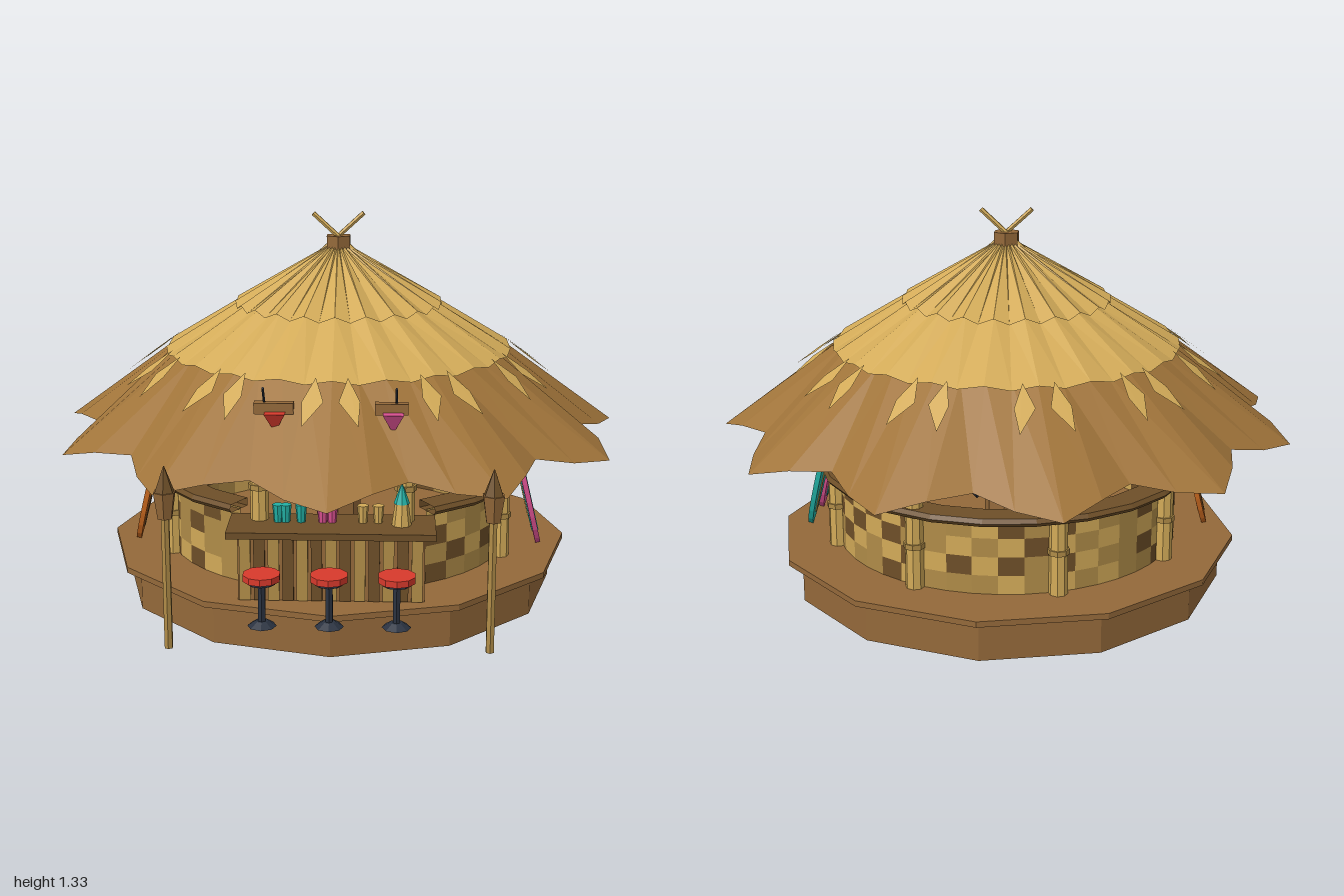
import * as THREE from 'three';

export function createModel() {
  const model = new THREE.Group();
  const hut = new THREE.Group();
  hut.name = 'beachBar';
  hut.position.z = -0.02;
  model.add(hut);

  const paint = (name, color) => {
    const m = new THREE.MeshStandardMaterial({ color, flatShading: true, side: THREE.DoubleSide });
    m.name = name;
    return m;
  };
  const straw = paint('straw', 0xd2aa58), thatch = paint('thatch', 0xa0743a);
  const wood = paint('wood', 0x94693a), darkWood = paint('dark wood', 0x6e4f28);
  const tan = paint('tan', 0xb08c48), red = paint('red', 0xd83a2c);
  const pink = paint('pink', 0xd8508f), teal = paint('teal', 0x22b0a5);
  const orange = paint('orange', 0xcc6a20), navy = paint('navy', 0x2a3240);

  const add = (name, geo, mat, x = 0, y = 0, z = 0, parent = hut) => {
    const m = new THREE.Mesh(geo, mat);
    m.name = name;
    m.position.set(x, y, z);
    parent.add(m);
    return m;
  };
  const cyl = (name, r1, r0, y0, y1, sides, mat, x = 0, z = 0, parent = hut) =>
    add(name, new THREE.CylinderGeometry(r1, r0, y1 - y0, sides), mat, x, (y0 + y1) / 2, z, parent);
  const box = (name, w, h, d, mat, x, y, z, parent = hut) =>
    add(name, new THREE.BoxGeometry(w, h, d), mat, x, y, z, parent);
  const polar = (r, a, y) => [r * Math.sin(a), y, r * Math.cos(a)];
  const soup = (points) => {
    const g = new THREE.BufferGeometry();
    g.setAttribute('position', new THREE.Float32BufferAttribute(points.flat(), 3));
    g.computeVertexNormals();
    return g;
  };
  const quad = (out, a, b, c, d) => out.push(a, b, c, a, c, d);
  const TAU = Math.PI * 2;

  // Deck with overhanging lip
  cyl('deckBase', 0.77, 0.77, 0, 0.14, 12, wood);
  cyl('deckLip', 0.82, 0.82, 0.14, 0.16, 12, wood);

  // Pleated thatch layers; each ring gives [radius, height] for a pleat index
  const N = 44;
  const layer = (name, mat, inner, outer) => {
    const pts = [];
    for (let i = 0; i < N; i++) {
      const at = (ring, k) => { const [r, y] = ring(k % N); return polar(r, (k / N) * TAU, y); };
      quad(pts, at(inner, i), at(outer, i), at(outer, i + 1), at(inner, i + 1));
    }
    add(name, soup(pts), mat);
  };
  const jag = (r, y, d) => (k) => [r, y + (k % 2 ? -d : d)];
  layer('roofCap', straw, jag(0.03, 1.215, 0.004), jag(0.365, 1.015, 0.01));
  layer('roofMiddle', straw, jag(0.34, 1.022, 0.008), jag(0.61, 0.86, 0.007));
  // Eleven scalloped lobes of four pleats each
  layer('roofSkirt', thatch, jag(0.57, 0.875, 0.004), (k) => [
    [1.005, 0.56], [0.935, 0.595], [0.865, 0.605], [0.935, 0.575]][k % 4]);
  add('ceiling', new THREE.CylinderGeometry(0.05, 0.8, 0.48, 12, 1, true), wood, 0, 0.855, 0);

  // Pointed straw tufts lying over the skirt
  const tufts = [];
  const slopeY = (r) => 0.876 - (r - 0.6) * 0.74;
  for (let i = 0; i < 22; i++) {
    const a = (Math.floor(i / 2) / 11) * TAU + (i % 2 ? 0.085 : -0.085);
    const p = (r, da) => polar(r, a + da, slopeY(r));
    const lean = i % 2 ? 0.03 : -0.03;
    quad(tufts, p(0.6, 0), p(0.68, -0.05), p(0.76, lean), p(0.68, 0.05));
  }
  add('strawTufts', soup(tufts), straw);

  // Roof finial with crossed sticks
  cyl('finial', 0.047, 0.047, 1.175, 1.25, 6, wood);
  for (const s of [-1, 1]) {
    const stick = cyl('crossedStick', 0.009, 0.009, 1.11, 1.37, 6, straw, 0.008 * s, 0.01 * s);
    stick.rotation.z = s * 0.83;
  }

  // Patchwork wall, open at the front for the counter
  const tileMats = [straw, tan, darkWood];
  const tiles = tileMats.map(() => []);
  let seed = 7;
  const rand = () => (seed = (seed * 16807) % 2147483647) / 2147483647;
  const deg = Math.PI / 180, rows = 4, rowH = 0.26 / rows;
  for (let c = 0; c < 37; c++) {
    const a0 = (30 + c * (300 / 37)) * deg, a1 = a0 + (300 / 37) * deg;
    for (let r = 0; r < rows; r++) {
      const y0 = 0.16 + r * rowH, y1 = y0 + rowH;
      const pick = (c + r) % 2 ? (rand() < 0.6 ? 0 : 1) : (rand() < 0.55 ? 2 : 1);
      quad(tiles[pick], polar(0.61, a0, y0), polar(0.61, a1, y0), polar(0.61, a1, y1), polar(0.61, a0, y1));
    }
  }
  tiles.forEach((t, i) => add('wovenWall', soup(t), tileMats[i]));
  const railProfile = [[0.57, 0.415], [0.66, 0.415], [0.67, 0.428], [0.66, 0.442], [0.57, 0.442], [0.57, 0.415]]
    .map(([x, y]) => new THREE.Vector2(x, y));
  add('wallRail', new THREE.LatheGeometry(railProfile, 20, 30 * deg, 300 * deg), darkWood);

  // Eight bamboo posts with joints
  for (let i = 0; i < 8; i++) {
    const [x, , z] = polar(0.62, (22.5 + 45 * i) * deg, 0);
    cyl('post', 0.029, 0.032, 0.16, 0.7, 8, straw, x, z);
    for (const y of [0.3, 0.5]) cyl('postJoint', 0.037, 0.037, y, y + 0.018, 8, tan, x, z);
  }

  // Counter with slatted front
  box('counterBody', 0.6, 0.22, 0.16, wood, 0, 0.27, 0.61);
  box('counterTop', 0.67, 0.022, 0.2, darkWood, 0, 0.386, 0.62);
  for (let i = 0; i < 13; i++)
    box('counterSlat', 0.036, 0.21, 0.014, i % 2 ? darkWood : tan, (i - 6) * 0.046, 0.268, 0.694);

  // Drinks on the counter
  for (const [x, mat] of [[-0.175, teal], [-0.15, teal], [-0.1, teal], [-0.03, pink], [0.0, pink], [0.1, straw], [0.15, straw]])
    cyl('drink', 0.019, 0.014, 0.397, 0.455, 8, mat, x, 0.6);
  cyl('pitcher', 0.022, 0.032, 0.397, 0.47, 8, straw, 0.225, 0.62);
  cyl('pitcherLid', 0.002, 0.026, 0.47, 0.535, 8, teal, 0.225, 0.62);

  // Central column with round shelf and bottles
  cyl('centralColumn', 0.08, 0.08, 0.16, 1.0, 8, wood);
  cyl('shelf', 0.18, 0.18, 0.495, 0.51, 12, darkWood);
  for (let i = 0; i < 9; i++) {
    const [x, , z] = polar(0.145, (i / 9) * TAU, 0), mat = [teal, darkWood, straw][i % 3];
    cyl('bottle', 0.015, 0.015, 0.51, 0.545, 6, mat, x, z);
    cyl('bottleNeck', 0.005, 0.012, 0.545, 0.575, 6, mat, x, z);
  }

  // Bar stools
  for (const x of [-0.21, 0, 0.21]) {
    cyl('stoolSeat', 0.06, 0.06, 0.287, 0.308, 10, red, x, 0.84);
    cyl('stoolRim', 0.045, 0.045, 0.276, 0.288, 10, navy, x, 0.84);
    cyl('stoolPole', 0.013, 0.013, 0.145, 0.28, 6, navy, x, 0.84);
    cyl('stoolBase', 0.02, 0.046, 0.135, 0.152, 8, navy, x, 0.84);
  }

  // Torches beside the entrance
  for (const x of [-0.5, 0.5]) {
    cyl('torchPole', 0.014, 0.014, 0.07, 0.5, 6, tan, x, 0.87);
    cyl('torchHead', 0.037, 0.024, 0.495, 0.58, 6, wood, x, 0.87);
    cyl('torchTip', 0.002, 0.032, 0.58, 0.66, 6, darkWood, x, 0.87);
  }

  // Surfboards leaning on the wall
  const boardShape = (w, l) => {
    const s = new THREE.Shape();
    s.moveTo(0, 0);
    s.bezierCurveTo(w * 0.7, l * 0.06, w, l * 0.25, w, l * 0.5);
    s.bezierCurveTo(w, l * 0.8, w * 0.7, l * 0.97, 0, l);
    s.bezierCurveTo(-w * 0.7, l * 0.97, -w, l * 0.8, -w, l * 0.5);
    s.bezierCurveTo(-w, l * 0.25, -w * 0.7, l * 0.06, 0, 0);
    return s;
  };
  const surfboard = (side, z, mat, stripeMat) => {
    const g = new THREE.Group();
    g.name = 'surfboard';
    g.position.set(side * 0.72, 0.162, z);
    g.rotation.z = side * 0.24;
    const geo = new THREE.ExtrudeGeometry(boardShape(0.062, 0.48), { depth: 0.018, bevelEnabled: false, curveSegments: 5 });
    geo.translate(0, 0, -0.009).rotateY(Math.PI / 2);
    add('boardBody', geo, mat, 0, 0, 0, g);
    box('boardStripe', 0.024, 0.4, 0.018, stripeMat, 0, 0.25, 0, g);
    hut.add(g);
  };
  surfboard(1, 0.11, pink, teal);
  surfboard(1, -0.06, teal, straw);
  surfboard(-1, 0.11, orange, darkWood);

  // Lanterns hung under the eaves
  for (let i = 0; i < 12; i++) {
    const [x, , z] = polar(0.78, (i / 12) * TAU, 0);
    cyl('lanternCap', 0.01, 0.016, 0.6, 0.625, 6, darkWood, x, z);
    add('lantern', new THREE.OctahedronGeometry(0.027), [straw, teal, navy, pink][(i * 3) % 4], x, 0.585, z);
  }

  // Cocktail ornaments on the roof front
  for (const [x, mat] of [[-0.18, red], [0.19, pink]]) {
    box('ornamentRim', x < 0 ? 0.125 : 0.105, 0.035, 0.035, wood, x, 0.795, 0.668);
    const cup = cyl('ornamentCup', 0.046, 0.004, 0.725, 0.785, 4, mat, x + 0.005, 0.69);
    cup.rotation.y = Math.PI / 4;
    const s = cyl('ornamentStraw', 0.004, 0.004, 0.79, 0.88, 5, navy, x + (x < 0 ? -0.03 : 0.015), 0.685);
    s.rotation.x = 0.7;
  }

  return model;
}
